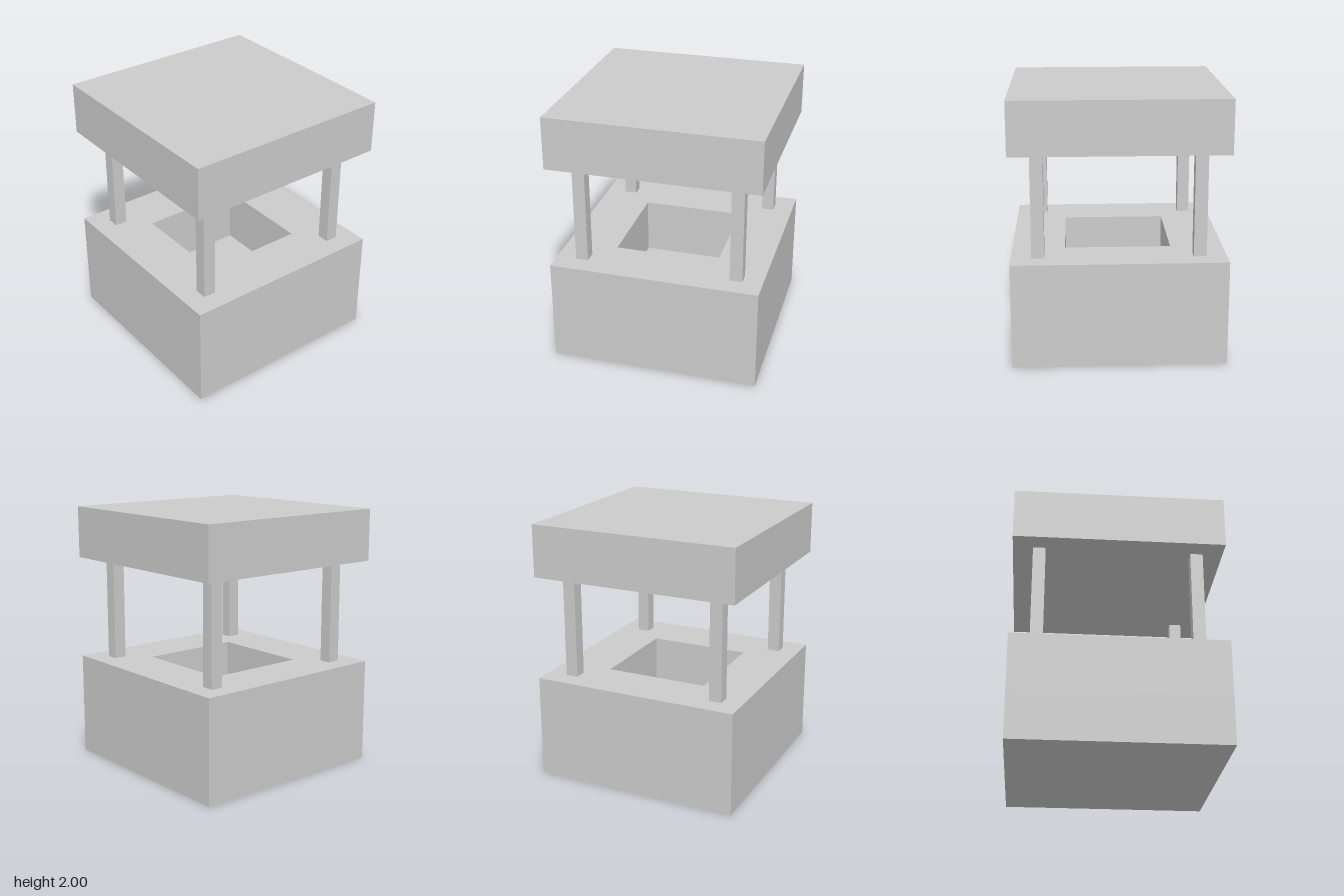
import * as THREE from 'three';

export function createModel() {
  const model = new THREE.Group();
  const material = new THREE.MeshStandardMaterial({ color: 0xcccccc, flatShading: true });

  const width = 1.6, half = width / 2;
  const baseTop = 0.8, roofBottom = 1.6, roofTop = 2;
  const shaftHalf = 0.4, floorY = 0.36;

  function add(name, geometry, x, y, z) {
    const mesh = new THREE.Mesh(geometry, material);
    mesh.name = name;
    mesh.position.set(x, y, z);
    model.add(mesh);
    return mesh;
  }

  const square = (path, s) =>
    path.moveTo(-s, -s).lineTo(s, -s).lineTo(s, s).lineTo(-s, s).closePath();

  // Solid lower block, whose top is the floor of the shaft
  add('baseFloor', new THREE.BoxGeometry(width, floorY, width), 0, floorY / 2, 0);

  // Square wall around the open shaft
  const ring = square(new THREE.Shape(), half);
  ring.holes.push(square(new THREE.Path(), shaftHalf));
  const wall = new THREE.ExtrudeGeometry(ring, { depth: baseTop - floorY, bevelEnabled: false });
  wall.rotateX(-Math.PI / 2);
  add('baseWall', wall, 0, floorY, 0);

  // Four square posts
  const postHeight = roofBottom - baseTop;
  const post = new THREE.BoxGeometry(0.096, postHeight, 0.096);
  for (const [xName, x] of [['Left', 0.6], ['Right', -0.6]]) {
    for (const [zName, z] of [['front', 0.6], ['back', -0.6]]) {
      add(`${zName}${xName}Post`, post, x, baseTop + postHeight / 2, z);
    }
  }

  // Flat block roof
  add('roof', new THREE.BoxGeometry(width, roofTop - roofBottom, width), 0, (roofTop + roofBottom) / 2, 0);

  return model;
}
